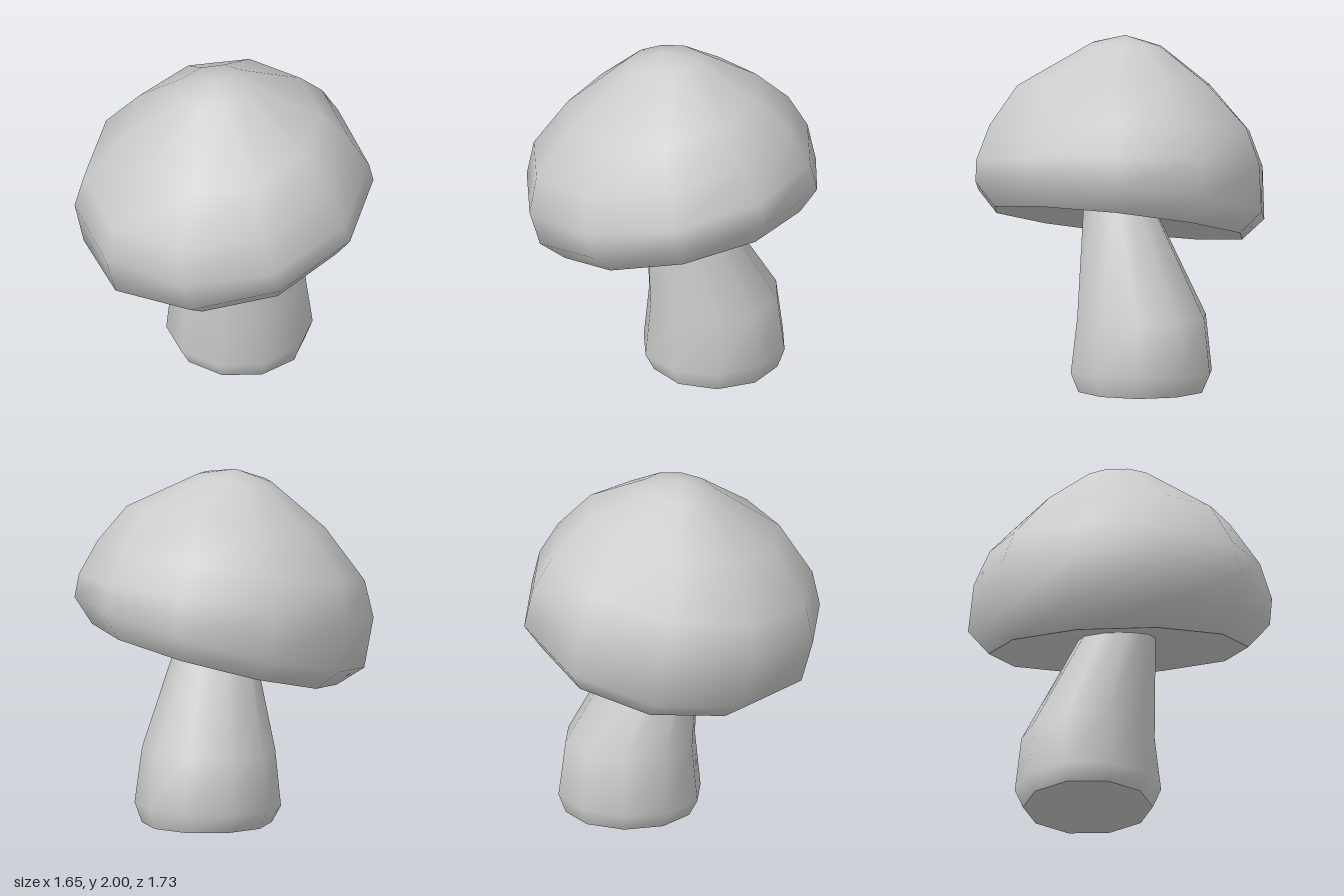
import * as THREE from 'three';

const SIDES = 10;
const PHASE = THREE.MathUtils.degToRad(93.3);

// Smooth skin through tilted rings { c: centre, rx, rz, sx, sz: slopes }, closed by an optional tip point.
function loft(rings, tip, flip = false) {
  const pos = [], index = [];
  const face = (a, b, c) => (flip ? index.push(a, b, c) : index.push(a, c, b));
  for (const { c, rx, rz = rx, sx = 0, sz = 0 } of rings) {
    for (let j = 0; j < SIDES; j++) {
      const a = PHASE + (j / SIDES) * Math.PI * 2;
      const dx = Math.cos(a) * rx, dz = Math.sin(a) * rz;
      pos.push(c[0] + dx, c[1] + sx * dx + sz * dz, c[2] + dz);
    }
  }
  if (tip) pos.push(...tip);
  const last = rings.length - 1, tipIndex = rings.length * SIDES;
  for (let i = 0; i <= last; i++) {
    for (let j = 0; j < SIDES; j++) {
      const a = i * SIDES + j, b = i * SIDES + (j + 1) % SIDES;
      if (i < last) {
        face(a, b, a + SIDES);
        face(b, b + SIDES, a + SIDES);
      } else if (tip) face(a, b, tipIndex);
    }
  }
  const geo = new THREE.BufferGeometry();
  geo.setAttribute('position', new THREE.Float32BufferAttribute(pos, 3));
  geo.setIndex(index);
  geo.computeVertexNormals();
  return geo;
}

export function createModel() {
  const group = new THREE.Group();
  const material = new THREE.MeshStandardMaterial({ color: 0xcccccc });
  const add = (name, geometry) => {
    const mesh = new THREE.Mesh(geometry, material);
    mesh.name = name;
    group.add(mesh);
  };

  // Domed cap: the tilt eases off towards the top
  const rim = { c: [0.06, 0.935, 0], rx: 0.69, rz: 0.74, sx: 0.255, sz: 0.04 };
  add('cap', loft([
    rim,
    { c: [0.03, 1.06, 0], rx: 0.82, rz: 0.86, sx: 0.253, sz: 0.035 },
    { c: [-0.02, 1.265, 0.02], rx: 0.838, rz: 0.85, sx: 0.18, sz: -0.045 },
    { c: [-0.055, 1.465, 0.03], rx: 0.76, rz: 0.77, sx: 0.184, sz: -0.045 },
    { c: [-0.035, 1.715, 0.06], rx: 0.564, rz: 0.57, sx: 0.14, sz: -0.05 },
    { c: [-0.065, 1.95, -0.01], rx: 0.212, rz: 0.2, sx: 0.13, sz: 0.02 },
  ], [-0.07, 2, 0]));

  // Slightly hollow underside, sharp at the rim
  add('capUnderside', loft([rim], [0.05, 1.03, 0], true));

  // Leaning stem, its top hidden inside the cap
  const foot = { c: [0.175, 0, -0.17], rx: 0.37 };
  add('stem', loft([
    foot,
    { c: [0.17, 0.105, -0.17], rx: 0.417, sx: 0.03 },
    { c: [0.165, 0.425, -0.17], rx: 0.38, sx: 0.02 },
    { c: [0.035, 1.1, 0.02], rx: 0.19, sx: 0.15 },
  ]));
  add('stemBase', loft([foot], foot.c, true));

  return group;
}
